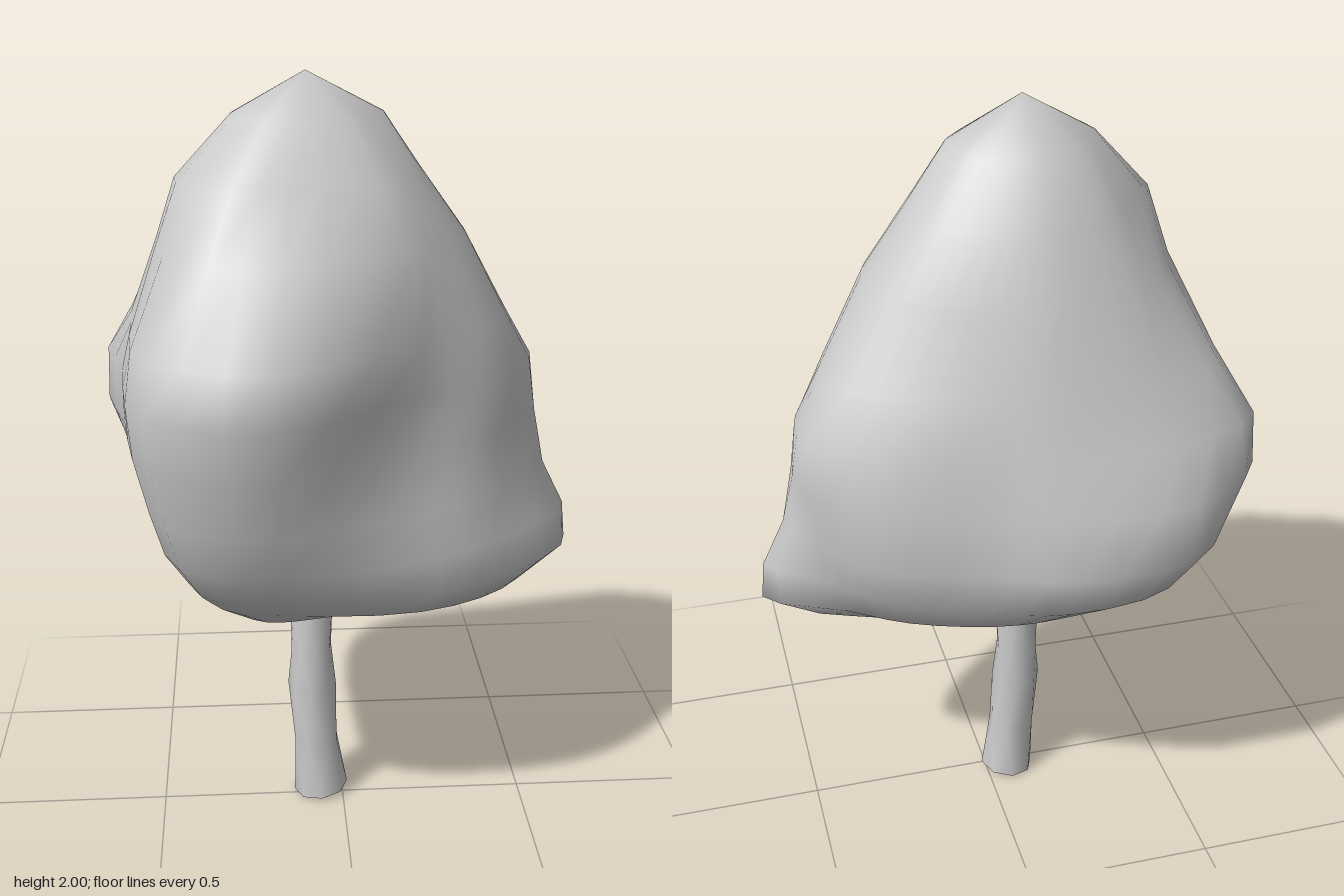
import * as THREE from 'three';

const material = new THREE.MeshStandardMaterial({ color: 0xcccccc, side: THREE.DoubleSide });

// Skins a stack of closed rings (bottom to top), with optional end points.
function skin(name, rings, bottom, top) {
  const n = rings[0].length;
  const pos = rings.flat().flatMap((p) => [p.x, p.y, p.z]);
  const index = [];
  for (let j = 0; j < rings.length - 1; j++) {
    for (let i = 0; i < n; i++) {
      const a = j * n + i, b = j * n + (i + 1) % n;
      index.push(a, a + n, b, b, a + n, b + n);
    }
  }
  const count = rings.length * n;
  if (bottom) {
    pos.push(...bottom);
    for (let i = 0; i < n; i++) index.push(count, i, (i + 1) % n);
  }
  if (top) {
    const t = pos.length / 3, s = count - n;
    pos.push(...top);
    for (let i = 0; i < n; i++) index.push(s + i, t, s + (i + 1) % n);
  }
  const g = new THREE.BufferGeometry();
  g.setAttribute('position', new THREE.Float32BufferAttribute(pos, 3));
  g.setIndex(index);
  g.computeVertexNormals();
  const mesh = new THREE.Mesh(g, material);
  mesh.name = name;
  return mesh;
}

// Lobed foliage: each level is a height, then radii at the angles from +x towards +z.
function foliage() {
  const angles = [0, 20, 45, 100, 135, 180, 212, 238, 270, 295, 326, 345];
  const levels = [
    [0.62, 0.26, 0.22, 0.18, 0.16, 0.20, 0.18, 0.16, 0.15, 0.12, 0.13, 0.18, 0.23],
    [0.69, 0.61, 0.54, 0.40, 0.27, 0.31, 0.25, 0.24, 0.23, 0.21, 0.25, 0.34, 0.44],
    [0.75, 0.71, 0.59, 0.45, 0.34, 0.38, 0.31, 0.32, 0.35, 0.35, 0.37, 0.44, 0.53],
    [0.85, 0.70, 0.56, 0.45, 0.40, 0.45, 0.38, 0.44, 0.50, 0.47, 0.45, 0.51, 0.57],
    [0.97, 0.64, 0.53, 0.42, 0.44, 0.49, 0.42, 0.53, 0.58, 0.51, 0.47, 0.55, 0.59],
    [1.12, 0.61, 0.51, 0.39, 0.48, 0.53, 0.46, 0.60, 0.57, 0.48, 0.46, 0.55, 0.61],
    [1.26, 0.59, 0.51, 0.39, 0.51, 0.55, 0.46, 0.59, 0.51, 0.44, 0.43, 0.53, 0.61],
    [1.39, 0.52, 0.47, 0.39, 0.51, 0.53, 0.43, 0.49, 0.44, 0.40, 0.40, 0.46, 0.53],
    [1.60, 0.41, 0.38, 0.35, 0.35, 0.41, 0.36, 0.34, 0.34, 0.33, 0.33, 0.37, 0.41],
    [1.75, 0.30, 0.28, 0.26, 0.24, 0.32, 0.31, 0.26, 0.26, 0.27, 0.28, 0.30, 0.31],
    [1.90, 0.20, 0.17, 0.15, 0.14, 0.16, 0.17, 0.16, 0.16, 0.17, 0.18, 0.20, 0.20],
  ];
  const rings = levels.map(([y, ...radii], j) => {
    const corners = radii.map((r, i) => {
      const a = THREE.MathUtils.degToRad(angles[i]), x = -0.1 + r * Math.cos(a);
      // the underside rises towards the right-hand lobe, which leans slightly backwards
      const lift = j ? 0 : 0.25 * Math.max(0, x + 0.1);
      return new THREE.Vector3(x, y + lift, r * Math.sin(a) - 0.1 * Math.max(0, x));
    });
    const curve = new THREE.CatmullRomCurve3(corners, true, 'centripetal');
    return curve.getPoints(36).slice(0, 36);
  });
  return skin('foliage', rings, [-0.2, 0.605, 0.02], [-0.09, 2, 0]);
}

// Slender twisted trunk, open at the foot: height, x, z, radius.
function trunk() {
  const levels = [
    [0.01, -0.06, -0.02, 0.074],
    [0.17, -0.073, -0.02, 0.062],
    [0.34, -0.083, -0.025, 0.066],
    [0.45, -0.084, -0.03, 0.056],
    [0.58, -0.083, -0.033, 0.058],
    [0.68, -0.085, -0.035, 0.045],
  ];
  const rings = levels.map(([y, x, z, r], j) => Array.from({ length: 8 }, (_, i) => {
    const a = i * Math.PI / 4 + j * 0.45;
    // the foot is cut slightly on the slant
    const lift = j ? 0 : 0.01 * Math.cos(a);
    return new THREE.Vector3(x + r * Math.cos(a), y + lift, z + r * Math.sin(a));
  }));
  return skin('trunk', rings);
}

export function createModel() {
  const tree = new THREE.Group();
  tree.name = 'tree';
  tree.add(trunk(), foliage());
  return tree;
}
